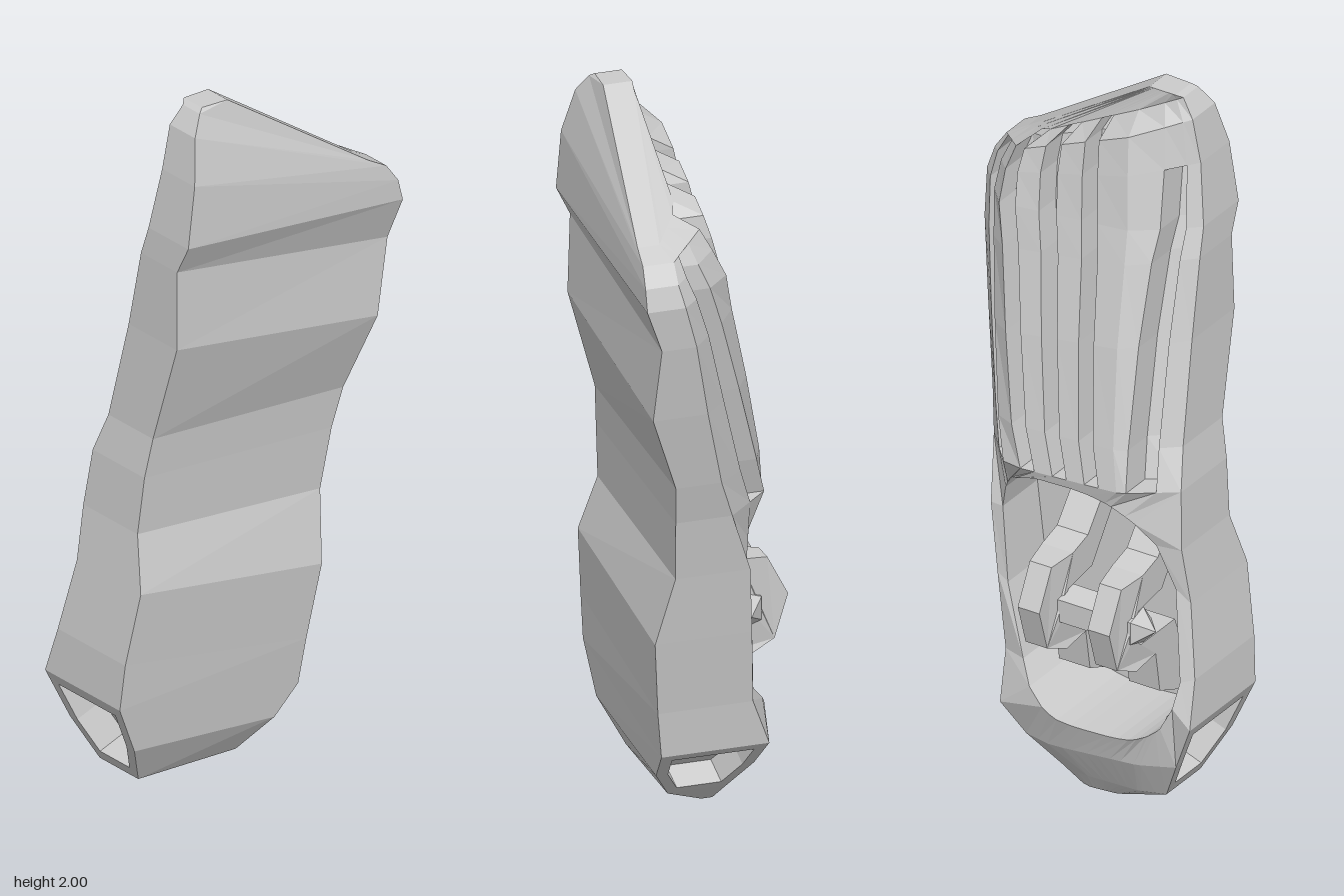
import * as THREE from 'three';

// Stations from bottom to top:
// [left x, left y, right x, right y, front z left, front z right, back z, bevel left, bevel right]
const LEVELS = [
  [-0.17, 0.01, -0.03, 0.0, -0.05, -0.05, -0.09, 0.01, 0.01],
  [-0.30, 0.06, 0.02, 0.05, 0.06, 0.06, -0.12, 0.02, 0.02],
  [-0.36, 0.18, 0.10, 0.14, 0.12, 0.12, -0.178, 0.03, 0.03],
  [-0.42, 0.32, 0.17, 0.22, 0.135, 0.13, -0.215, 0.04, 0.05],
  [-0.41, 0.45, 0.185, 0.35, 0.145, 0.145, -0.165, 0.03, 0.05],
  [-0.375, 0.65, 0.22, 0.56, 0.165, 0.165, -0.11, 0.01, 0.01],
  [-0.35, 0.80, 0.25, 0.75, 0.12, 0.12, -0.125, 0.02, 0.04],
  [-0.335, 0.96, 0.28, 0.92, 0.13, 0.13, -0.165, 0.08, 0.14],
  [-0.315, 1.07, 0.31, 1.03, 0.14, 0.14, -0.145, 0.10, 0.16],
  [-0.30, 1.35, 0.36, 1.25, 0.22, 0.22, -0.09, 0.11, 0.16],
  [-0.295, 1.57, 0.40, 1.46, 0.215, 0.21, -0.035, 0.10, 0.15],
  [-0.29, 1.65, 0.415, 1.58, 0.255, 0.255, -0.01, 0.10, 0.16],
  [-0.265, 1.82, 0.40, 1.64, 0.25, 0.255, 0.015, 0.10, 0.15],
  [-0.24, 1.94, 0.365, 1.69, 0.22, 0.25, 0.035, 0.08, 0.13],
  [-0.205, 1.99, 0.31, 1.72, 0.195, 0.245, 0.105, 0.02, 0.08],
  [-0.19, 2.0, -0.11, 2.0, 0.185, 0.19, 0.11, 0.0, 0.0],
];
// Lines across the back, as fractions at the bottom and the top of the grooves
const T_LOW = [0, 0.09, 0.2, 0.24, 0.33, 0.4, 0.49, 0.56, 0.65, 0.72, 0.82, 0.9, 1];
const T_HIGH = [0, 0.035, 0.1, 0.24, 0.39, 0.46, 0.58, 0.66, 0.77, 0.84, 0.91, 0.97, 1];
const TOP = LEVELS.length - 1, LAST = T_LOW.length - 1;
const OPEN_LOW = 2, OPEN_HIGH = 7; // stations around the back opening
const lerp = THREE.MathUtils.lerp, clamp = THREE.MathUtils.clamp;
const V = (x, y, z) => new THREE.Vector3(x, y, z);

function backPoint(k, t) {
  const [lx, ly, rx, ry, , , zb, bevelL, bevelR] = LEVELS[k];
  const z = zb + bevelL * Math.max(0, (0.22 - t) / 0.22) + bevelR * Math.max(0, (t - 0.8) / 0.2);
  return V(lerp(lx, rx, t), lerp(ly, ry, t), z);
}
const P = (k, i) => backPoint(k, lerp(T_LOW[i], T_HIGH[i], clamp((k - OPEN_HIGH) / 6, 0, 1)));
const frontLeft = (k) => V(LEVELS[k][0], LEVELS[k][1], LEVELS[k][4]);
const frontRight = (k) => V(LEVELS[k][2], LEVELS[k][3], LEVELS[k][5]);

// Depth of the back surface at a given x, y
function backZ(x, y) {
  for (let k = 0; k < TOP; k++) {
    const t = clamp((x - LEVELS[k][0]) / (LEVELS[k][2] - LEVELS[k][0]), 0, 1);
    const a = backPoint(k, t), b = backPoint(k + 1, t);
    if (y <= b.y) return lerp(a.z, b.z, clamp((y - a.y) / (b.y - a.y), 0, 1));
  }
  return 0;
}

function bodyGeometry() {
  const pos = [];
  const tri = (...p) => p.forEach((v) => pos.push(v.x, v.y, v.z));
  const quad = (a, b, c, d) => { tri(a, b, c); tri(a, c, d); };
  const band = (outer, inner) => outer.forEach((o, i) => {
    const j = (i + 1) % outer.length;
    quad(o, outer[j], inner[j], inner[i]);
  });
  const centre = (loop) => loop.reduce((s, p) => s.add(p), V(0, 0, 0)).divideScalar(loop.length);
  const fan = (loop) => {
    const c = centre(loop);
    loop.forEach((p, i) => tri(p, loop[(i + 1) % loop.length], c));
  };
  const moved = (loop, x, y, z) => loop.map((p) => p.clone().add(V(x, y, z)));
  // Boundary of a patch of the back
  const patchLoop = (k0, k1, i0, i1) => {
    const loop = [];
    for (let k = k0; k < k1; k++) loop.push(P(k, i0));
    for (let i = i0; i < i1; i++) loop.push(P(k1, i));
    for (let k = k1; k > k0; k--) loop.push(P(k, i1));
    for (let i = i1; i > i0; i--) loop.push(P(k0, i));
    return loop;
  };

  // Grooves: [column, first station, last station, depth]
  const grooves = [[1, 7, 12, 0.09], [4, 7, 14, 0.08], [6, 7, 14, 0.08], [8, 7, 14, 0.08], [10, 7, 13, 0.07]];
  for (const [i, k0, k1, depth] of grooves) {
    const rim = patchLoop(k0, k1, i, i + 1);
    band(rim, moved(rim, 0, 0, depth));
  }

  for (let k = 0; k < TOP; k++) {
    // Wavy front
    quad(frontLeft(k), frontRight(k), frontRight(k + 1), frontLeft(k + 1));
    // Sides
    if (k < 1 || k > 2) {
      quad(frontRight(k), P(k, LAST), P(k + 1, LAST), frontRight(k + 1));
      quad(P(k, 0), frontLeft(k), frontLeft(k + 1), P(k + 1, 0));
    }
    // Back and groove floors
    if (k >= OPEN_LOW && k < OPEN_HIGH) continue;
    for (let i = 0; i < LAST; i++) {
      const g = grooves.find((q) => q[0] === i && k >= q[1] && k < q[2]);
      const cell = [P(k, i), P(k + 1, i), P(k + 1, i + 1), P(k, i + 1)];
      quad(...moved(cell, 0, 0, g ? g[3] : 0));
    }
  }

  // Rounded opening and its cavity
  const frame = patchLoop(OPEN_LOW, OPEN_HIGH, 0, LAST);
  const soft = (v) => Math.sign(v) * Math.abs(v) ** 0.72;
  const oval = frame.map((p) => {
    const a = Math.atan2((p.y - 0.58) / 0.335, (p.x + 0.08) / 0.275);
    const y = 0.58 + 0.335 * soft(Math.sin(a));
    const x = -0.08 + 0.275 * soft(Math.cos(a)) + 0.19 * (y - 0.58);
    return V(x, y, backZ(x, y));
  });
  const floor = oval.map((p) => V(p.x, p.y, 0.075));
  band(frame, oval);
  band(oval, floor);
  fan(floor);

  // Pockets low on both sides
  const pocket = (loop, dx) => {
    const c = centre(loop);
    const rim = loop.map((p) => p.clone().lerp(c, 0.24));
    const deep = moved(rim, dx, 0.03, 0);
    band(loop, rim);
    band(rim, deep);
    fan(deep);
  };
  pocket([frontRight(1), P(1, LAST), P(2, LAST), P(3, LAST), frontRight(3), frontRight(2)], -0.08);
  pocket([P(1, 0), frontLeft(1), frontLeft(2), frontLeft(3), P(3, 0), P(2, 0)], 0.08);

  // End caps
  const ring = (k) => [frontLeft(k), frontRight(k), ...T_LOW.map((_, i) => P(k, LAST - i))];
  fan(ring(TOP));
  fan(ring(0).reverse());

  const g = new THREE.BufferGeometry();
  g.setAttribute('position', new THREE.Float32BufferAttribute(pos, 3));
  g.computeVertexNormals();
  return g;
}

// Curved bracket in z, y, narrowing towards its outer face
function bracketGeometry() {
  const outline = [
    [0.08, 0.88], [-0.05, 0.72], [-0.12, 0.7], [-0.2, 0.69], [-0.257, 0.58], [-0.22, 0.46],
    [-0.15, 0.43], [-0.06, 0.44], [-0.04, 0.32], [0.08, 0.27], [0.08, 0.38], [0.03, 0.5],
    [-0.13, 0.5], [-0.165, 0.53], [-0.17, 0.57], [-0.14, 0.605], [-0.03, 0.62], [0.08, 0.77],
  ];
  const shape = new THREE.Shape(outline.map(([z, y]) => new THREE.Vector2(-z, y)));
  const g = new THREE.ExtrudeGeometry(shape, { depth: 0.095, bevelEnabled: false });
  g.translate(0, 0, -0.0475).rotateY(Math.PI / 2);
  const p = g.attributes.position;
  for (let i = 0; i < p.count; i++) if (p.getZ(i) < -0.19) p.setX(i, p.getX(i) * 0.7);
  g.computeVertexNormals();
  return g;
}

export function createModel() {
  const group = new THREE.Group();
  const material = new THREE.MeshStandardMaterial({ color: 0xcccccc, flatShading: true });
  const add = (name, geometry, x = 0, y = 0, z = 0) => {
    const m = new THREE.Mesh(geometry, material);
    m.name = name;
    m.position.set(x, y, z);
    group.add(m);
  };

  add('body', bodyGeometry());

  // Brackets rising out of the cavity
  const bracket = bracketGeometry();
  add('rightBracket', bracket, -0.193);
  add('leftBracket', bracket, 0.022);

  // Cross pin with pointed ends
  const pin = new THREE.CylinderGeometry(0.055, 0.055, 0.31, 5).rotateZ(Math.PI / 2);
  add('pin', pin, -0.0855, 0.555, -0.135);
  for (const s of [-1, 1]) {
    const tip = new THREE.ConeGeometry(0.055, 0.05, 5).rotateZ(-s * Math.PI / 2);
    add(s > 0 ? 'leftPinTip' : 'rightPinTip', tip, -0.0855 + s * 0.18, 0.555, -0.135);
  }
  return group;
}
